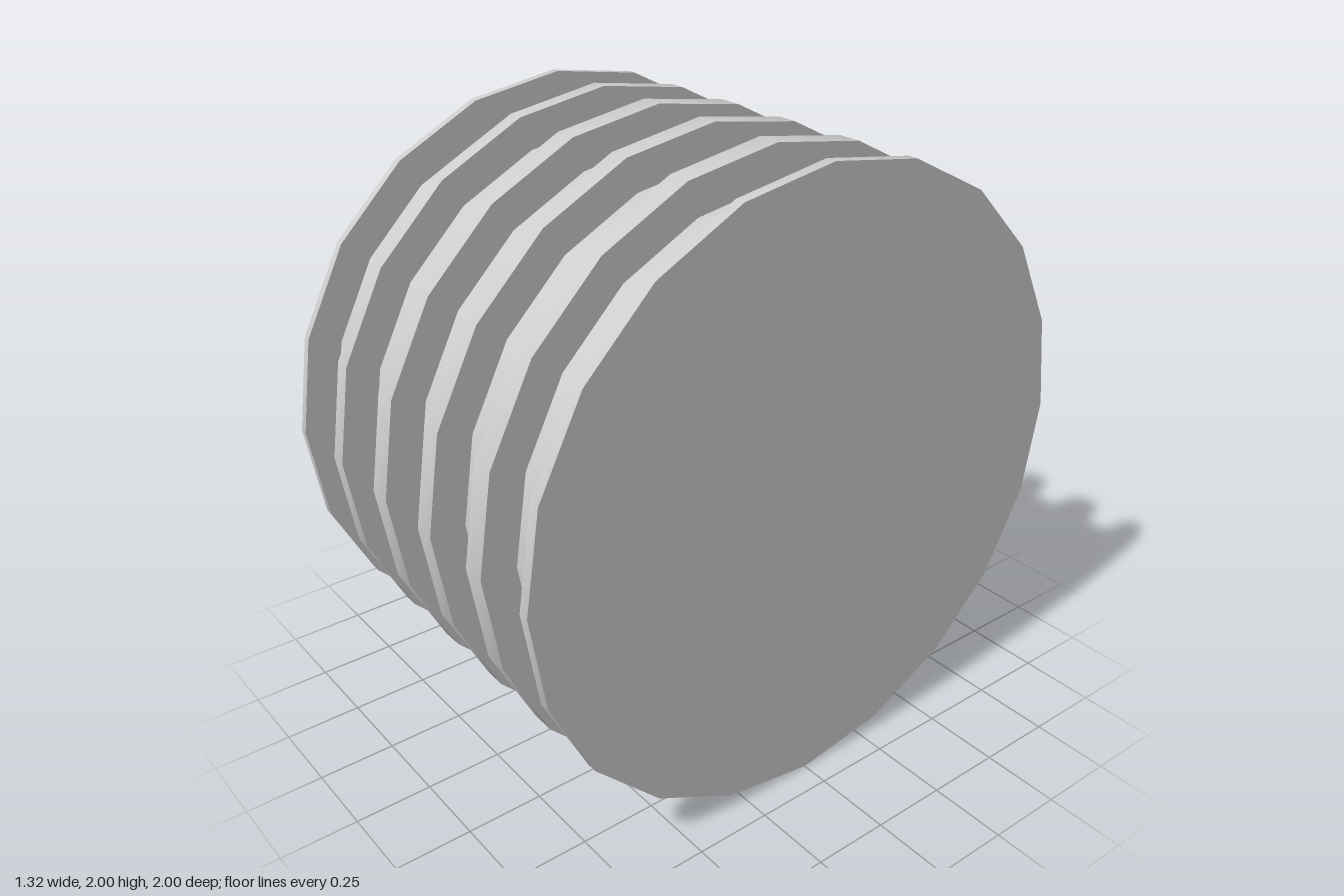
import * as THREE from 'three';
import { toCreasedNormals } from 'three/addons/utils/BufferGeometryUtils.js';

const SIDES = 20;
const material = new THREE.MeshStandardMaterial({ color: 0xcccccc });

// Turns [radius, x] pairs around the x axis, keeping the corners sharp.
function turned(name, profile, sides = SIDES) {
  const points = profile.map(([r, x]) => new THREE.Vector2(r, x));
  const geometry = new THREE.LatheGeometry(points, sides).rotateZ(-Math.PI / 2);
  const mesh = new THREE.Mesh(toCreasedNormals(geometry, 0.6), material);
  mesh.name = name;
  return mesh;
}

export function createModel() {
  const group = new THREE.Group();
  group.name = 'ribbedWheel';

  const rimRadius = 1, bodyRadius = 0.888, cavityRadius = 0.76;
  const end = 0.66, floor = -0.255;

  // Raised ribs along the axle, from the open end to the closed end
  const ribs = [
    [-end, -0.633], [-0.428, -0.374], [-0.17, -0.094],
    [0.096, 0.166], [0.359, 0.435], [0.625, end],
  ];

  // Drum: recessed floor, cavity wall, ribbed outside, closed end
  const drum = [[0, floor], [cavityRadius, floor], [cavityRadius, -end], [bodyRadius, -end]];
  for (const [a, b] of ribs) {
    drum.push([bodyRadius, a], [rimRadius, a], [rimRadius, b], [bodyRadius, b]);
  }
  drum.splice(3, 2); // the open face runs straight out to the first rib
  drum.pop();        // the closed face runs straight in to the centre
  drum.push([0, end]);
  group.add(turned('drum', drum));

  // Hub with a bevelled front edge, axle stub and hexagonal nut in the cavity
  group.add(turned('hub', [[0, -0.35], [0.18, -0.35], [0.2, -0.33], [0.2, floor]]));
  group.add(turned('axle', [[0, -0.44], [0.06, -0.44], [0.06, -0.34]]));
  group.add(turned('nut', [[0, -0.5], [0.08, -0.5], [0.08, -0.43], [0, -0.43]], 6));

  group.position.y = 1;
  const model = new THREE.Group();
  model.add(group);
  return model;
}
